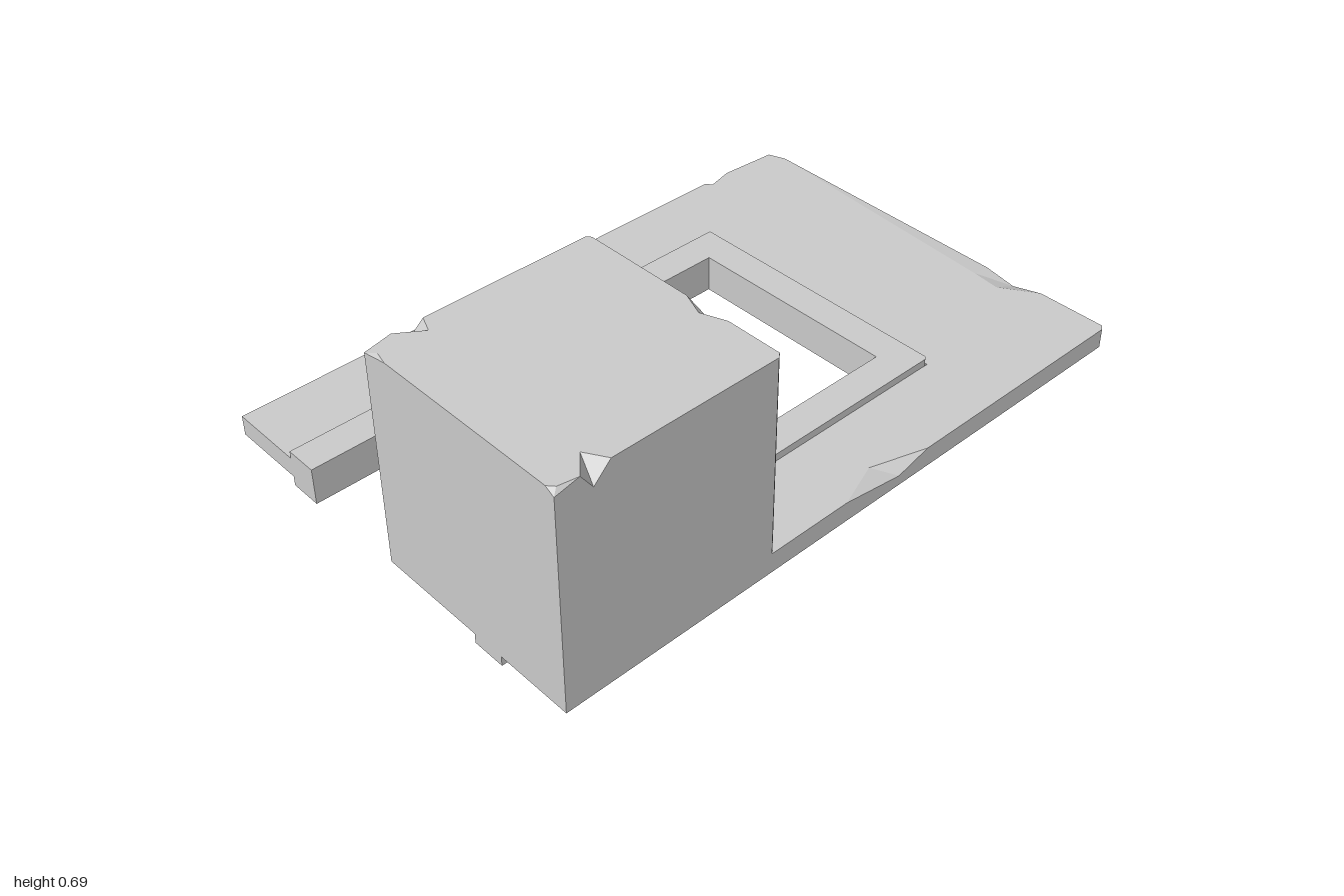
import * as THREE from 'three';

const material = new THREE.MeshStandardMaterial({ color: 0xcccccc, flatShading: true });

// Upright prism over an outline of [x, z] points, counter-clockwise from above.
// A point [x, z, mx, mz, drop] is a chip: the top edge is pulled in to (mx, mz)
// and the side edge sinks by drop.
function chippedPrism(name, outline, y0, y1) {
  const bottom = outline.map(([x, z]) => new THREE.Vector3(x, y0, z));
  const side = outline.map(([x, z, , , drop = 0]) => new THREE.Vector3(x, y1 - drop, z));
  const top = outline.map(([x, z, mx = x, mz = z]) => new THREE.Vector3(mx, y1, mz));
  const positions = [];
  const face = (a, b, c) => {
    const area = b.clone().sub(a).cross(c.clone().sub(a)).length();
    if (area > 1e-8) for (const p of [a, b, c]) positions.push(p.x, p.y, p.z);
  };

  // Walls, then the chip facets between the side and top rings
  for (const [low, high] of [[bottom, side], [side, top]]) {
    for (let i = 0; i < outline.length; i++) {
      const j = (i + 1) % outline.length;
      face(low[i], low[j], high[j]);
      face(low[i], high[j], high[i]);
    }
  }

  // Caps
  const flat = (ring) => ring.map((p) => new THREE.Vector2(p.x, -p.z));
  for (const [a, b, c] of THREE.ShapeUtils.triangulateShape(flat(top), [])) face(top[a], top[b], top[c]);
  for (const [a, b, c] of THREE.ShapeUtils.triangulateShape(flat(bottom), [])) face(bottom[c], bottom[b], bottom[a]);

  const geometry = new THREE.BufferGeometry();
  geometry.setAttribute('position', new THREE.Float32BufferAttribute(positions, 3));
  geometry.computeVertexNormals();
  const mesh = new THREE.Mesh(geometry, material);
  mesh.name = name;
  return mesh;
}

export function createModel() {
  const group = new THREE.Group();
  group.name = 'stoneFrame';

  // Broad U-shaped slab with worn outer edges
  group.add(chippedPrism('slab', [
    [-0.667, 1], [-0.433, 1], [-0.433, -0.5], [0.433, -0.5], [0.433, 0.36], [0.667, 0.36],
    [0.667, 0.08], [0.667, -0.12, 0.615, -0.06, 0.03], [0.667, -0.23],
    [0.667, -0.985], [0.655, -1],
    [0.44, -1], [0.34, -1, 0.33, -0.93, 0.025], [0.24, -1, 0.24, -0.94, 0.008], [-0.6, -1],
    [-0.667, -1, -0.655, -0.98, 0.02],
    [-0.667, -0.8], [-0.667, -0.74, -0.648, -0.72, 0.02], [-0.667, -0.7],
    [-0.667, 0.19], [-0.667, 0.27, -0.648, 0.23, 0.025], [-0.667, 0.39],
  ], 0.03, 0.092));

  // Thicker rim around the opening, running on beneath the block
  group.add(chippedPrism('innerRim', [
    [-0.433, 1], [-0.333, 1], [-0.333, -0.4], [0.333, -0.4], [0.333, 1], [0.433, 1],
    [0.433, -0.49], [0.425, -0.5], [-0.433, -0.5],
    [-0.433, -0.12], [-0.433, 0.03, -0.4, 0.04, 0.023], [-0.433, 0.085],
  ], 0, 0.115));

  // Large block on one leg, with chipped top edges and shaved rear corners
  group.add(chippedPrism('block', [
    [0, 1, 0.04, 0.99, 0.015], [0.08, 1], [0.64, 1],
    [0.667, 1, 0.657, 0.985, 0.015], [0.667, 0.93],
    [0.667, 0.895, 0.608, 0.88, 0.05], [0.667, 0.845],
    [0.667, 0.347], [0.655, 0.333],
    [0.49, 0.333], [0.43, 0.333, 0.42, 0.36, 0.03], [0.35, 0.333],
    [0.012, 0.333], [0, 0.345],
    [0, 0.835], [0, 0.88, 0.048, 0.855, 0.04], [0, 0.925],
  ], 0.03, 0.69));

  return group;
}
